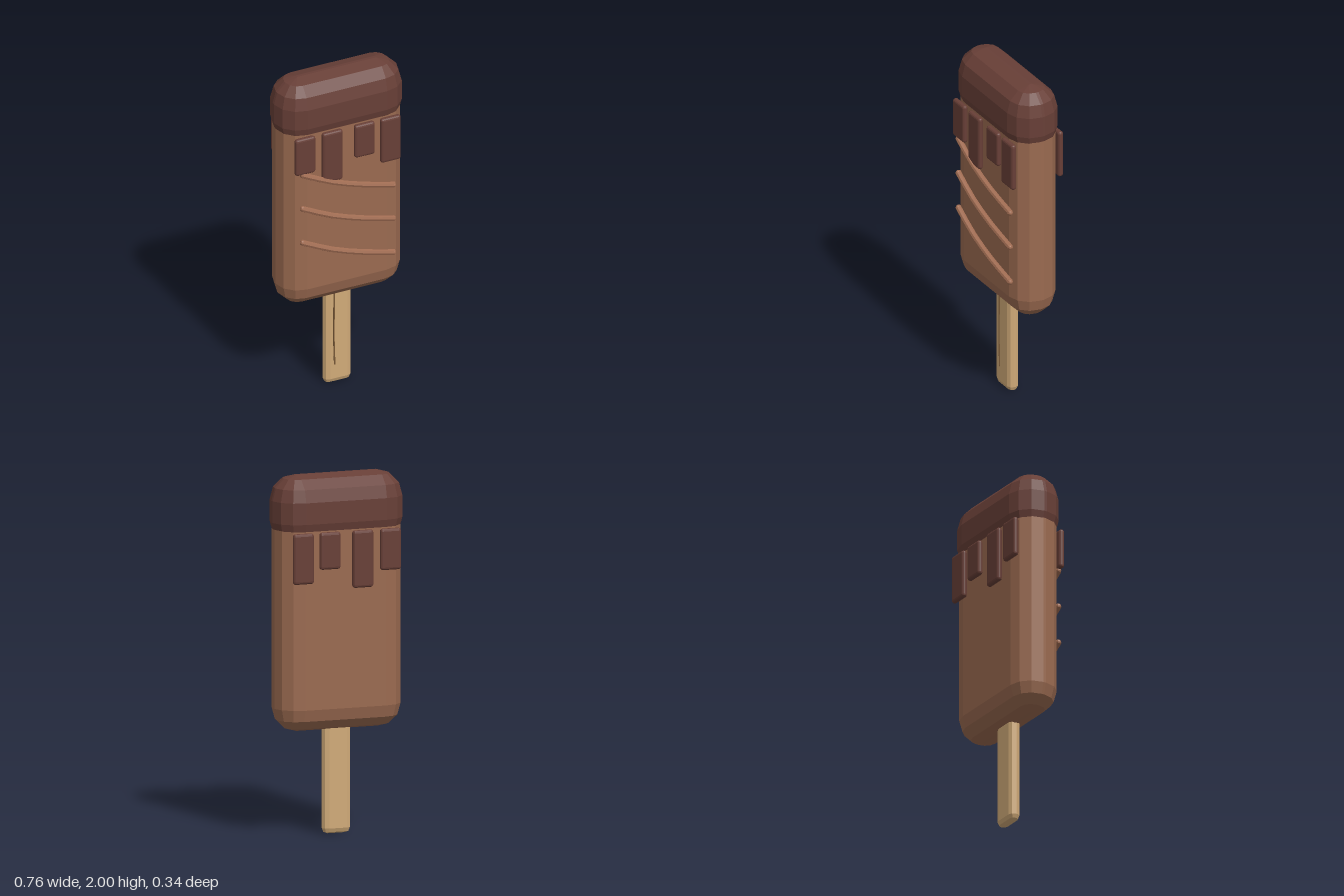
import * as THREE from 'three';

const Z = -0.008; // centre plane of the bar

// Box with every edge rounded: a stack of rounded-rectangle rings, n facets per corner
function roundedBlock(w, h, d, r, n) {
  const pos = [], idx = [], count = 4 * (n + 1);
  const corners = [[1, 1], [-1, 1], [-1, -1], [1, -1]];
  const rings = [];
  for (let i = 0; i <= n; i++) rings.push([-1, -Math.PI / 2 + (i / n) * Math.PI / 2]);
  for (let i = 0; i <= n; i++) rings.push([1, (i / n) * Math.PI / 2]);
  for (const [side, lat] of rings) {
    const y = side * (h / 2 - r) + r * Math.sin(lat), rr = r * Math.cos(lat);
    corners.forEach(([sx, sz], q) => {
      for (let k = 0; k <= n; k++) {
        const a = (q + k / n) * Math.PI / 2;
        pos.push(sx * (w / 2 - r) + rr * Math.cos(a), y, sz * (d / 2 - r) + rr * Math.sin(a));
      }
    });
  }
  for (let j = 0; j < rings.length - 1; j++) {
    for (let i = 0; i < count; i++) {
      const a = j * count + i, b = j * count + (i + 1) % count;
      idx.push(a, a + count, b, b, a + count, b + count);
    }
  }
  // flat bottom and top
  const last = (rings.length - 1) * count;
  for (let i = 1; i < count - 1; i++) {
    idx.push(0, i, i + 1, last, last + i + 1, last + i);
  }
  const g = new THREE.BufferGeometry();
  g.setAttribute('position', new THREE.Float32BufferAttribute(pos, 3));
  g.setIndex(idx);
  g.computeVertexNormals();
  return g;
}

function material(name, color) {
  const m = new THREE.MeshStandardMaterial({ color, flatShading: true });
  m.name = name;
  return m;
}

export function createModel() {
  const model = new THREE.Group();
  model.name = 'iceCreamBar';
  const milk = material('milkChocolate', 0x9a6a50);
  const dark = material('darkChocolate', 0x683f37);
  const caramel = material('caramel', 0xa06c52);
  const wood = material('wood', 0xd0aa78);
  const grainMat = material('woodGrain', 0x7a5a38);

  const add = (name, geometry, mat, x, y, z) => {
    const mesh = new THREE.Mesh(geometry, mat);
    mesh.name = name;
    mesh.position.set(x, y, z);
    model.add(mesh);
  };

  // Bar, dipped top and stick
  add('body', roundedBlock(0.74, 1.32, 0.276, 0.13, 3), milk, 0, 1.24, Z);
  add('topCoating', roundedBlock(0.76, 0.4, 0.298, 0.14, 3), dark, 0, 1.8, Z);
  add('stick', roundedBlock(0.164, 0.75, 0.066, 0.03, 2), wood, 0, 0.375, Z + 0.004);

  // Drips on front and back: centre x, bottom y
  const drips = [[-0.26, 1.463], [-0.095, 1.375], [0.1, 1.487], [0.258, 1.413]];
  for (const [x, bottom] of drips) {
    const h = 1.693 - bottom;
    const g = roundedBlock(0.122, h, 0.033, 0.015, 3);
    add('frontDrip', g, dark, x, bottom + h / 2, 0.141);
    add('backDrip', g, dark, x, bottom + h / 2, -0.158);
  }

  // Three drizzled lines across the front
  const drizzle = new THREE.CatmullRomCurve3([
    new THREE.Vector3(-0.28, 0.21, 0.143),
    new THREE.Vector3(-0.106, 0.127, 0.152),
    new THREE.Vector3(0.09, 0.058, 0.152),
    new THREE.Vector3(0.28, 0.003, 0.143),
  ]);
  const tube = new THREE.TubeGeometry(drizzle, 6, 0.017, 8);
  const ends = [0, 1].map((t) => drizzle.getPoint(t));
  const tip = new THREE.SphereGeometry(0.0165, 8, 6);
  for (const y of [1.25, 1.035, 0.818]) {
    add('drizzle', tube, caramel, 0, y, 0);
    for (const p of ends) add('drizzleTip', tip, caramel, p.x * 0.98, y + p.y - Math.sign(p.x) * -0.002, p.z);
  }

  // Thin grain line on the stick front
  const grain = new THREE.CatmullRomCurve3([
    new THREE.Vector3(-0.029, 0.6, 0.029),
    new THREE.Vector3(-0.031, 0.27, 0.029),
    new THREE.Vector3(-0.026, 0.12, 0.029),
  ]);
  add('grainLine', new THREE.TubeGeometry(grain, 6, 0.005, 6), grainMat, 0, 0, 0);

  return model;
}
